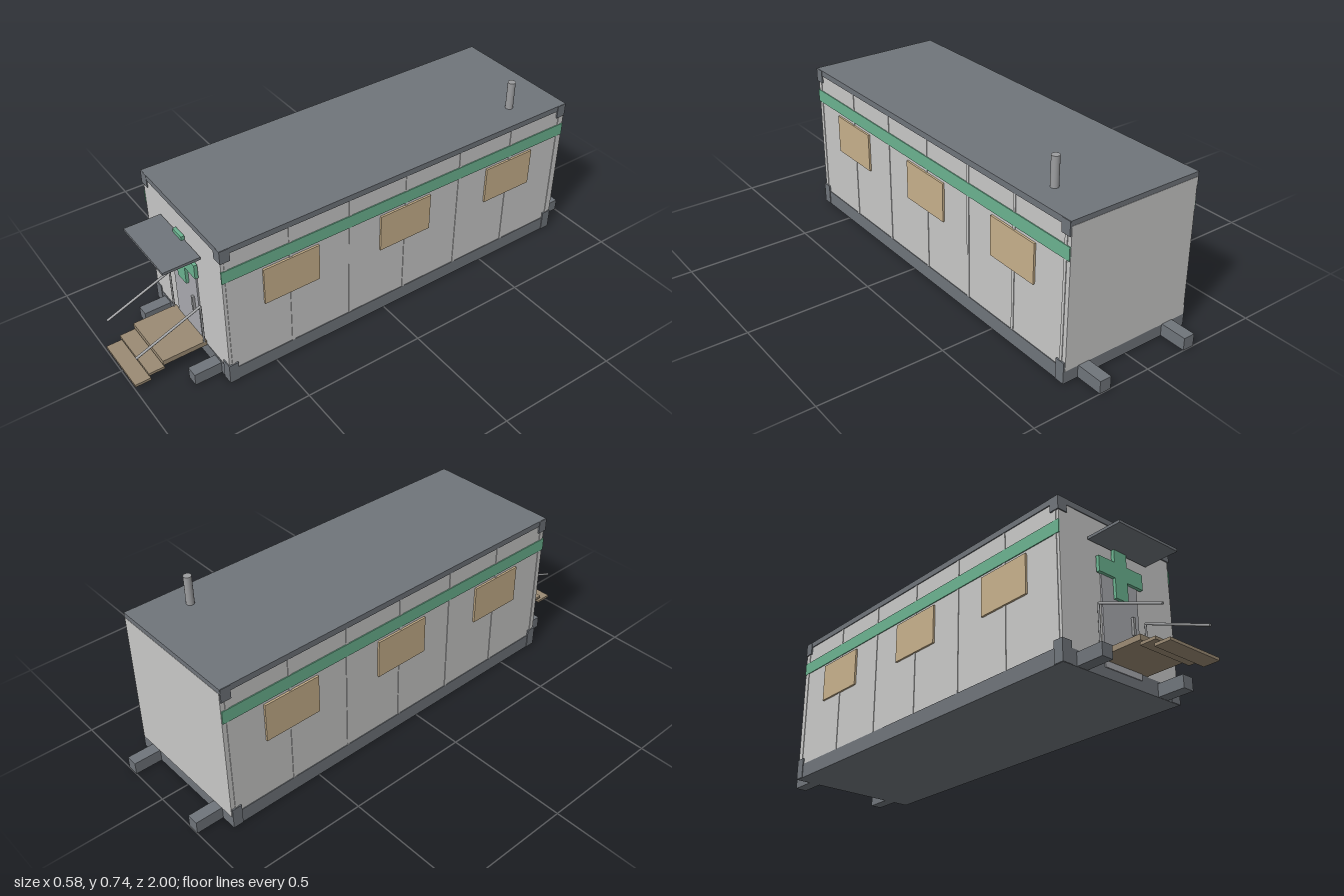
import * as THREE from 'three';

const mat = (name, color) => {
  const m = new THREE.MeshStandardMaterial({ color });
  m.name = name;
  return m;
};

export function createModel() {
  const wall = mat('wall white', 0xc9c9c8);
  const steel = mat('dark steel', 0x70757b);
  const doorGrey = mat('door grey', 0xaaabb0);
  const green = mat('green', 0x6cb491);
  const tan = mat('window tan', 0xc8b18c);
  const wood = mat('step wood', 0x9b8b74);
  const metal = mat('pale metal', 0x9c9d9f);

  const model = new THREE.Group();
  model.name = 'containerClinic';

  const add = (name, geometry, material) => {
    const mesh = new THREE.Mesh(geometry, material);
    mesh.name = name;
    model.add(mesh);
    return mesh;
  };
  // box given by its minimum and maximum on each axis
  const box = (name, material, [x0, x1], [y0, y1], [z0, z1]) => {
    const mesh = add(name, new THREE.BoxGeometry(x1 - x0, y1 - y0, z1 - z0), material);
    mesh.position.set((x0 + x1) / 2, (y0 + y1) / 2, (z0 + z1) / 2);
    return mesh;
  };
  // round bar between two points
  const bar = (name, material, a, b, radius, sides) => {
    const dir = b.clone().sub(a);
    const mesh = add(name, new THREE.CylinderGeometry(radius, radius, dir.length(), sides), material);
    mesh.position.copy(a).add(b).multiplyScalar(0.5);
    mesh.quaternion.setFromUnitVectors(new THREE.Vector3(0, 1, 0), dir.normalize());
    return mesh;
  };

  // shell, floor frame and roof
  box('walls', wall, [-0.28, 0.28], [0.05, 0.605], [-0.892, 0.697]);
  box('baseFrame', steel, [-0.283, 0.283], [0, 0.06], [-0.89, 0.699]);
  box('roof', steel, [-0.284, 0.284], [0.6, 0.624], [-0.891, 0.7]);

  for (const s of [-1, 1]) {
    const span = (a, b) => (s > 0 ? [a, b] : [-b, -a]);

    // corner castings
    for (const z of [[-0.89, -0.85], [0.661, 0.701]]) {
      box('lowerCornerFitting', steel, span(0.243, 0.286), [0.001, 0.085], z);
      box('upperCornerFitting', steel, span(0.243, 0.286), [0.569, 0.623], z);
    }

    // skid beam
    box('skid', steel, span(0.173, 0.221), [0.001, 0.051], [-1, 0.81]);

    // wall ribs
    for (let i = -3; i <= 3; i++) {
      const z = -0.095 + i * 0.258;
      box('wallRib', wall, span(0.275, 0.2825), [0.06, 0.6], [z - 0.006, z + 0.006]);
    }

    // stripe and shuttered windows
    box('stripe', green, span(0.279, 0.284), [0.478, 0.53], [-0.89, 0.699]);
    for (const z of [0.42, -0.09, -0.607]) {
      box('windowShutter', tan, span(0.279, 0.288), [0.307, 0.465], [z - 0.117, z + 0.117]);
    }

    // handrail
    const x = s * 0.118;
    const top = new THREE.Vector3(x, 0.259, 0.71);
    bar('railPost', metal, new THREE.Vector3(x, 0.08, 0.71), top, 0.004, 10);
    bar('handrail', metal, top, new THREE.Vector3(x, 0.152, 0.98), 0.005, 10);
  }

  // door and handle
  box('door', doorGrey, [-0.09, 0.09], [0.037, 0.42], [0.695, 0.703]);
  box('doorHandle', metal, [0.052, 0.063], [0.194, 0.263], [0.7, 0.713]);

  // cross sign
  const cross = new THREE.Shape();
  [[-0.031, 0.307], [0.031, 0.307], [0.031, 0.385], [0.11, 0.385], [0.11, 0.447], [0.031, 0.447],
    [0.031, 0.525], [-0.031, 0.525], [-0.031, 0.447], [-0.11, 0.447], [-0.11, 0.385], [-0.031, 0.385]]
    .forEach(([x, y], i) => (i ? cross.lineTo(x, y) : cross.moveTo(x, y)));
  add('crossSign', new THREE.ExtrudeGeometry(cross, { depth: 0.014, bevelEnabled: false }), green)
    .position.z = 0.701;

  // canopy over the door
  box('canopy', steel, [-0.148, 0.148], [0.498, 0.509], [0.703, 0.85]);

  // landing and steps
  box('landing', wood, [-0.12, 0.12], [0.061, 0.082], [0.7, 0.882]);
  box('upperStep', wood, [-0.12, 0.12], [0.042, 0.053], [0.878, 0.942]);
  box('lowerStep', wood, [-0.12, 0.12], [0.018, 0.029], [0.936, 1]);

  // stove pipe
  bar('stovePipe', metal, new THREE.Vector3(0.176, 0.61, -0.686), new THREE.Vector3(0.176, 0.74, -0.686), 0.0155, 20);

  return model;
}
